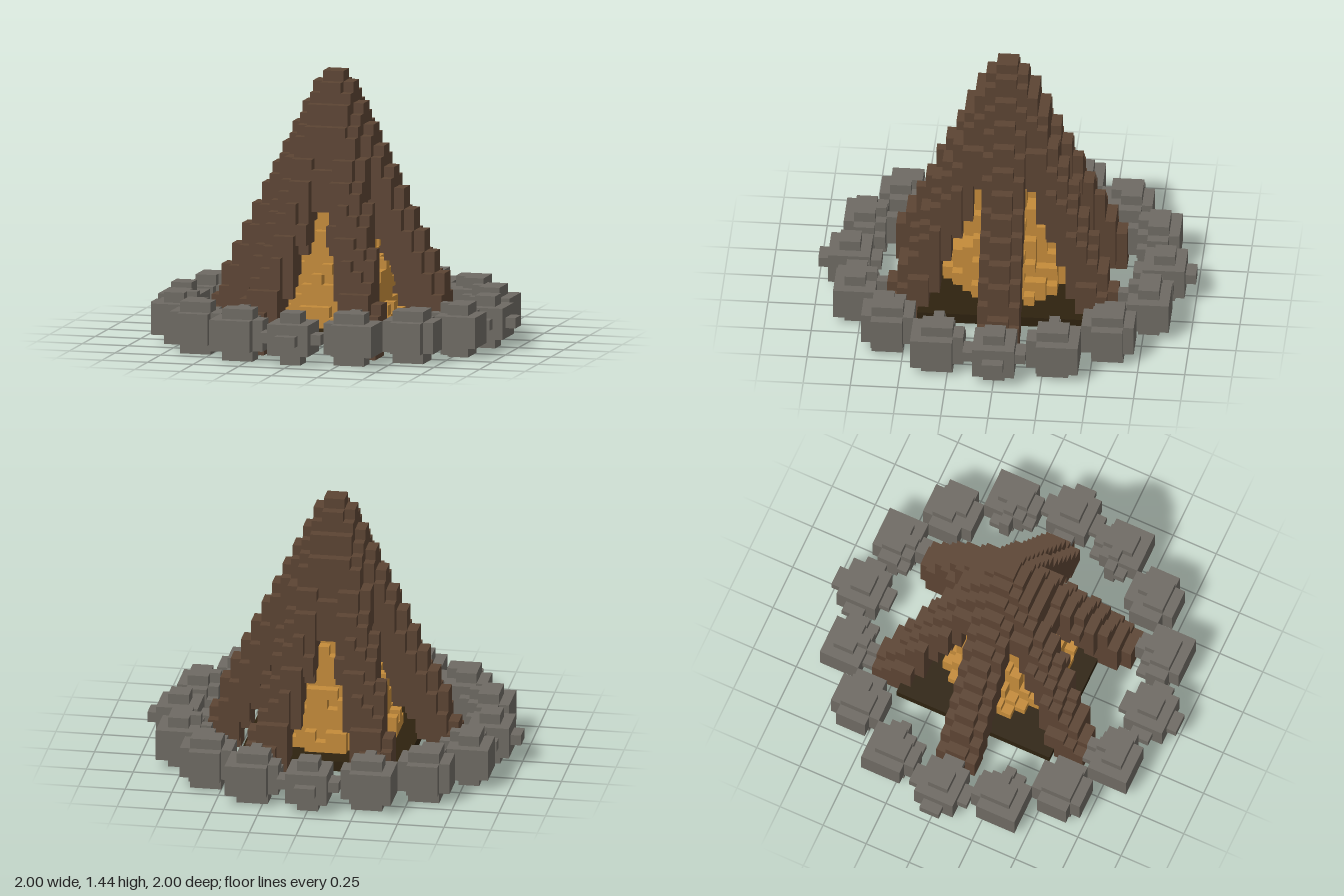
import * as THREE from 'three';

const V = 1 / 18; // edge of one block
const key = (x, y, z) => (x + 20) + 40 * ((y + 2) + 40 * (z + 20));

const mat = (name, color) => {
  const m = new THREE.MeshStandardMaterial({ color });
  m.name = name;
  return m;
};

// Small repeatable noise in -0.5..0.5
function noise(x, y, z) {
  const s = Math.sin(x * 12.99 + y * 78.23 + z * 37.72) * 43758.55;
  return s - Math.floor(s) - 0.5;
}

// Squared distance from p to the segment a-b
function segmentDistSq(p, a, b) {
  const d = b.clone().sub(a);
  const t = THREE.MathUtils.clamp(p.clone().sub(a).dot(d) / d.lengthSq(), 0, 1);
  return p.distanceToSquared(a.clone().addScaledVector(d, t));
}

// Faces of a part's blocks that do not touch another block
function blockGeometry(cells, owner) {
  const pos = [], norm = [], index = [];
  for (const c of cells) {
    for (let a = 0; a < 3; a++) {
      for (const s of [1, -1]) {
        const n = [0, 0, 0];
        n[a] = s;
        if (owner.has(key(c[0] + n[0], c[1] + n[1], c[2] + n[2]))) continue;
        const base = pos.length / 3;
        const ring = [[0, 0], [1, 0], [1, 1], [0, 1]];
        if (s < 0) ring.reverse();
        for (const [u, w] of ring) {
          const p = [...c];
          if (s > 0) p[a] += 1;
          p[(a + 1) % 3] += u;
          p[(a + 2) % 3] += w;
          pos.push(p[0] * V, p[1] * V, p[2] * V);
          norm.push(...n);
        }
        index.push(base, base + 1, base + 2, base, base + 2, base + 3);
      }
    }
  }
  const g = new THREE.BufferGeometry();
  g.setAttribute('position', new THREE.Float32BufferAttribute(pos, 3));
  g.setAttribute('normal', new THREE.Float32BufferAttribute(norm, 3));
  g.setIndex(index);
  return g;
}

export function createModel() {
  const stone = mat('stone grey', 0x6e6a63);
  const wood = mat('log brown', 0x5c4433);
  const fire = mat('flame amber', 0xc48b3a);
  const ash = mat('ash dark', 0x2e220f);

  const parts = []; // earlier parts keep shared blocks

  // Ring of sixteen slightly flattened round stones
  for (let i = 0; i < 16; i++) {
    const a = (i / 16) * Math.PI * 2;
    const cx = 15 * Math.cos(a), cz = 15 * Math.sin(a);
    parts.push({
      name: 'stone' + (i + 1), material: stone,
      inside: (p) => (p.x - cx) ** 2 + 1.2 * (p.y - 2.5) ** 2 + (p.z - cz) ** 2 <= 7,
    });
  }

  // Six logs leaning together at the top
  const tip = new THREE.Vector3(0, 24, 0);
  for (let i = 0; i < 6; i++) {
    const a = (i / 6) * Math.PI * 2;
    const foot = new THREE.Vector3(11 * Math.cos(a), 1, 11 * Math.sin(a));
    parts.push({
      name: 'log' + (i + 1), material: wood,
      inside: (p) => segmentDistSq(p, foot, tip) <= 4,
    });
  }

  // Square ash bed
  parts.push({
    name: 'ashBed', material: ash,
    inside: (p) => p.y > 1 && p.y < 2 && Math.abs(p.x) < 8 && Math.abs(p.z) < 8,
  });

  // Ragged cone of flame
  parts.push({
    name: 'flame', material: fire,
    inside: (p) => p.y > 2 && p.y < 18
      && Math.hypot(p.x, p.z) <= 6.1 - 0.3 * (p.y - 2) + 0.9 * noise(p.x, p.y, p.z),
  });

  // Hand each block to the first part that contains it
  const owner = new Map();
  const cells = parts.map(() => []);
  const p = new THREE.Vector3();
  for (let x = -18; x < 18; x++) {
    for (let y = 0; y < 26; y++) {
      for (let z = -18; z < 18; z++) {
        p.set(x + 0.5, y + 0.5, z + 0.5);
        const i = parts.findIndex((part) => part.inside(p));
        if (i < 0) continue;
        owner.set(key(x, y, z), i);
        cells[i].push([x, y, z]);
      }
    }
  }

  const model = new THREE.Group();
  model.name = 'campfire';
  parts.forEach((part, i) => {
    const mesh = new THREE.Mesh(blockGeometry(cells[i], owner), part.material);
    mesh.name = part.name;
    model.add(mesh);
  });
  return model;
}
